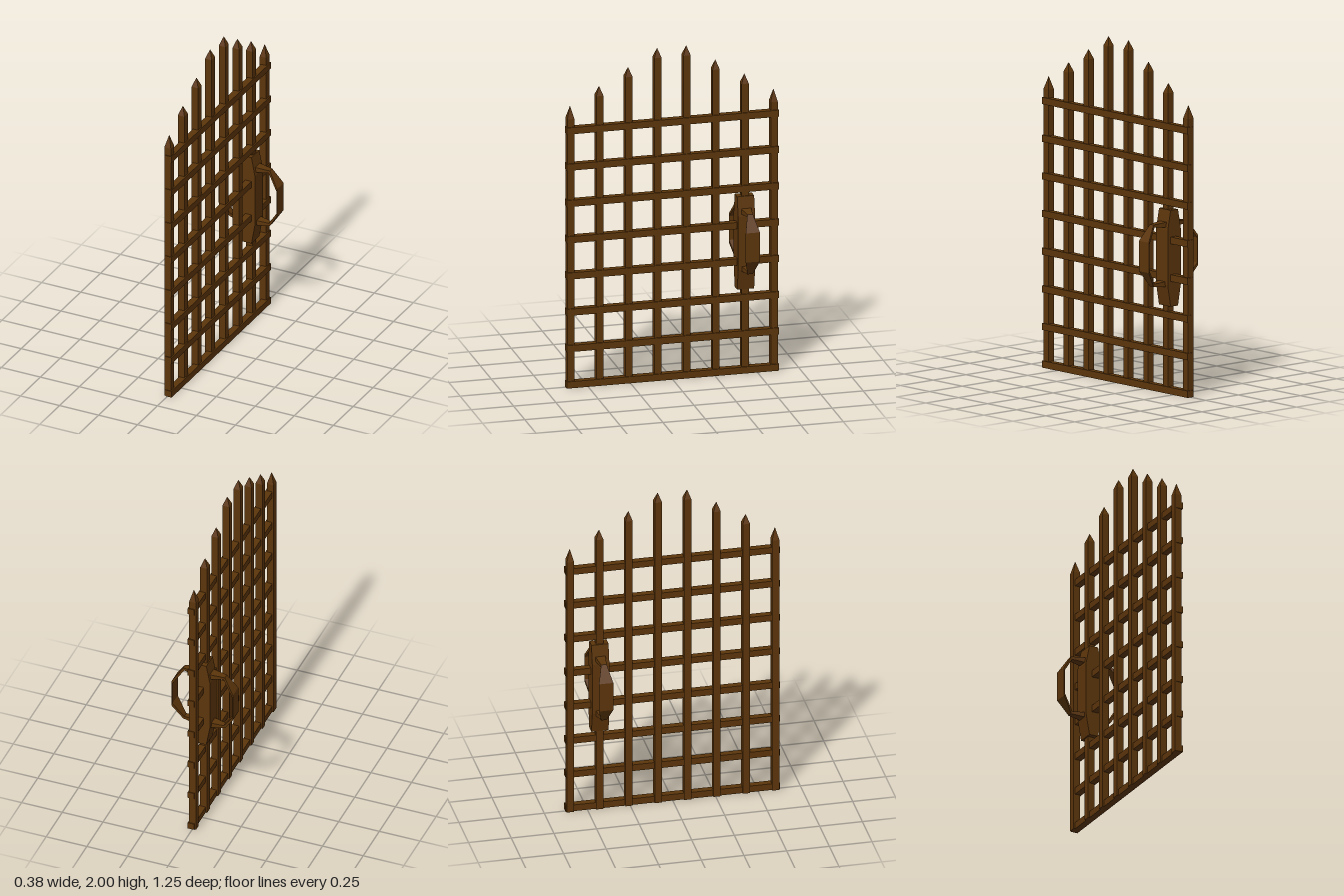
import * as THREE from 'three';

const iron = new THREE.MeshStandardMaterial({ color: 0x5c350b });
iron.name = 'rusty brown iron';
iron.flatShading = true;

function add(parent, name, geometry, x = 0, y = 0, z = 0) {
  const mesh = new THREE.Mesh(geometry, iron);
  mesh.name = name;
  mesh.position.set(x, y, z);
  parent.add(mesh);
  return mesh;
}

// Sweeps a rectangular section through rings of four corners,
// listed anticlockwise when looking back along the sweep
function loft(rings) {
  const index = [];
  const last = (rings.length - 1) * 4;
  for (let r = 0; r < rings.length - 1; r++) {
    for (let i = 0; i < 4; i++) {
      const a = r * 4 + i, b = r * 4 + (i + 1) % 4;
      index.push(a, b, b + 4, a, b + 4, a + 4);
    }
  }
  index.push(0, 2, 1, 0, 3, 2, last, last + 1, last + 2, last, last + 2, last + 3);
  const indexed = new THREE.BufferGeometry();
  indexed.setAttribute('position', new THREE.Float32BufferAttribute(rings.flat(2), 3));
  indexed.setIndex(index);
  const g = indexed.toNonIndexed();
  g.computeVertexNormals();
  return g;
}

// Handle stations: outer x, outer y, inner x, inner y, half width in z
const half = [
  [0.04, 1.0, 0.04, 0.968, 0.03],
  [0.128, 0.992, 0.121, 0.976, 0.016],
  [0.188, 0.9, 0.184, 0.884, 0.042],
];
const midY = 0.812;
const stations = [
  ...half,
  ...half.slice().reverse().map(([ox, oy, ix, iy, w]) => [ox, 2 * midY - oy, ix, 2 * midY - iy, w]),
];

export function createModel() {
  const model = new THREE.Group();
  model.name = 'gate';

  // Upright bars with pointed tips, rising toward the middle
  const heights = [2.0, 1.9, 1.8, 1.695];
  heights.forEach((top, i) => {
    const tip = i === 3 ? 0.075 : 0.055;
    for (const side of [-1, 1]) {
      const z = side * (0.086 + i * 0.1717);
      add(model, 'uprightBar', new THREE.BoxGeometry(0.042, top - tip, 0.042), 0, (top - tip) / 2, z);
      const cone = new THREE.ConeGeometry(0.0297, tip, 4);
      cone.rotateY(Math.PI / 4);
      add(model, 'barTip', cone, 0, top - tip / 2, z);
    }
  });

  // Cross bars, set slightly toward +x
  for (let i = 0; i < 8; i++) {
    add(model, 'crossBar', new THREE.BoxGeometry(0.04, 0.04, 1.254), 0.008, 0.02 + i * 0.2188, 0);
  }

  // Lock body with tapered ends
  const lock = new THREE.Group();
  lock.name = 'lock';
  lock.position.z = -0.43;
  model.add(lock);
  const section = [[0.51, 0.028], [0.635, 0.05], [0.955, 0.05], [1.07, 0.028]];
  add(lock, 'lockPlate', loft(section.map(([y, w]) => [
    [-w, y, 0.05], [w, y, 0.05], [w, y, -0.05], [-w, y, -0.05],
  ])));

  // Pull handles on both faces
  const handle = loft(stations.map(([ox, oy, ix, iy, w]) => [
    [ox, oy, -w], [ox, oy, w], [ix, iy, w], [ix, iy, -w],
  ]));
  for (const turn of [0, Math.PI]) {
    add(lock, 'pullHandle', handle).rotation.y = turn;
  }

  return model;
}
